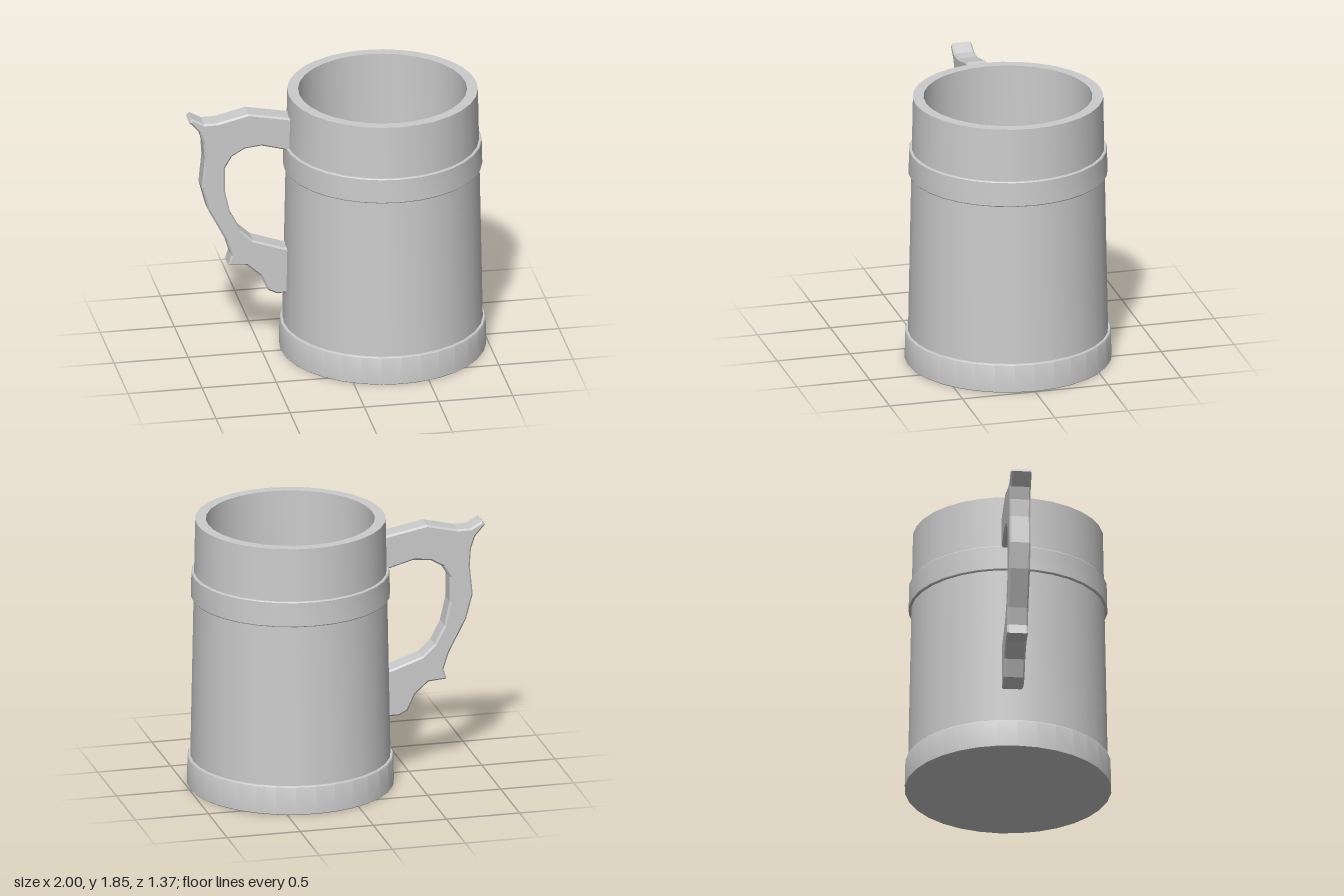
import * as THREE from 'three';
import { toCreasedNormals } from 'three/addons/utils/BufferGeometryUtils.js';

const material = new THREE.MeshStandardMaterial({ color: 0xcccccc });
const MUG_X = 0.31;

// Turned part: profile of [radius, height] points, running outwards then up
function turned(name, profile) {
  const points = profile.map(([r, y]) => new THREE.Vector2(r, y));
  const geometry = toCreasedNormals(new THREE.LatheGeometry(points, 32), 0.6);
  const mesh = new THREE.Mesh(geometry, material);
  mesh.name = name;
  mesh.position.x = MUG_X;
  return mesh;
}

// Bevelled flat handle, cut from an angular outline
function makeHandle() {
  const outline = [
    // scrolled outer edge, from the top joint down to the foot
    [-0.29, 1.69], [-0.34, 1.7], [-0.6, 1.75], [-0.81, 1.7], [-0.9, 1.7], [-0.98, 1.745],
    [-1, 1.72], [-0.93, 1.64], [-0.903, 1.56], [-0.895, 1.44], [-0.915, 1.24], [-0.87, 1.07],
    [-0.75, 0.84], [-0.715, 0.73], [-0.735, 0.66], [-0.61, 0.65], [-0.52, 0.57],
    [-0.47, 0.46], [-0.41, 0.43], [-0.29, 0.43],
    // grip opening, back up to the top joint
    [-0.29, 0.745], [-0.36, 0.757], [-0.57, 0.83], [-0.655, 0.91], [-0.72, 1.035],
    [-0.757, 1.2], [-0.757, 1.37], [-0.71, 1.45], [-0.625, 1.5], [-0.51, 1.512], [-0.29, 1.453],
  ].map(([x, y]) => new THREE.Vector2(x, y));
  const bevel = 0.012;
  const geometry = new THREE.ExtrudeGeometry(new THREE.Shape(outline), {
    depth: 0.14 - 2 * bevel,
    bevelEnabled: true,
    bevelSegments: 1,
    bevelThickness: bevel,
    bevelSize: bevel,
    bevelOffset: -bevel,
  });
  const mesh = new THREE.Mesh(geometry, material);
  mesh.name = 'handle';
  mesh.position.z = -0.1 + bevel;
  return mesh;
}

export function createModel() {
  const mug = new THREE.Group();
  mug.name = 'mug';
  mug.add(
    // tapered cup with a thick wall and a straight-sided hollow
    turned('cup', [[0, 0.01], [0.668, 0.01], [0.632, 1.845], [0.56, 1.845], [0.56, 0.12], [0, 0.12]]),
    // raised foot with a closed underside
    turned('footBand', [[0, 0], [0.683, 0], [0.687, 0.005], [0.683, 0.19], [0.678, 0.197], [0.65, 0.197]]),
    // raised hoop under the rim
    turned('upperBand', [[0.63, 1.307], [0.657, 1.307], [0.661, 1.313], [0.657, 1.475], [0.652, 1.481], [0.62, 1.481]]),
    makeHandle(),
  );
  return mug;
}
